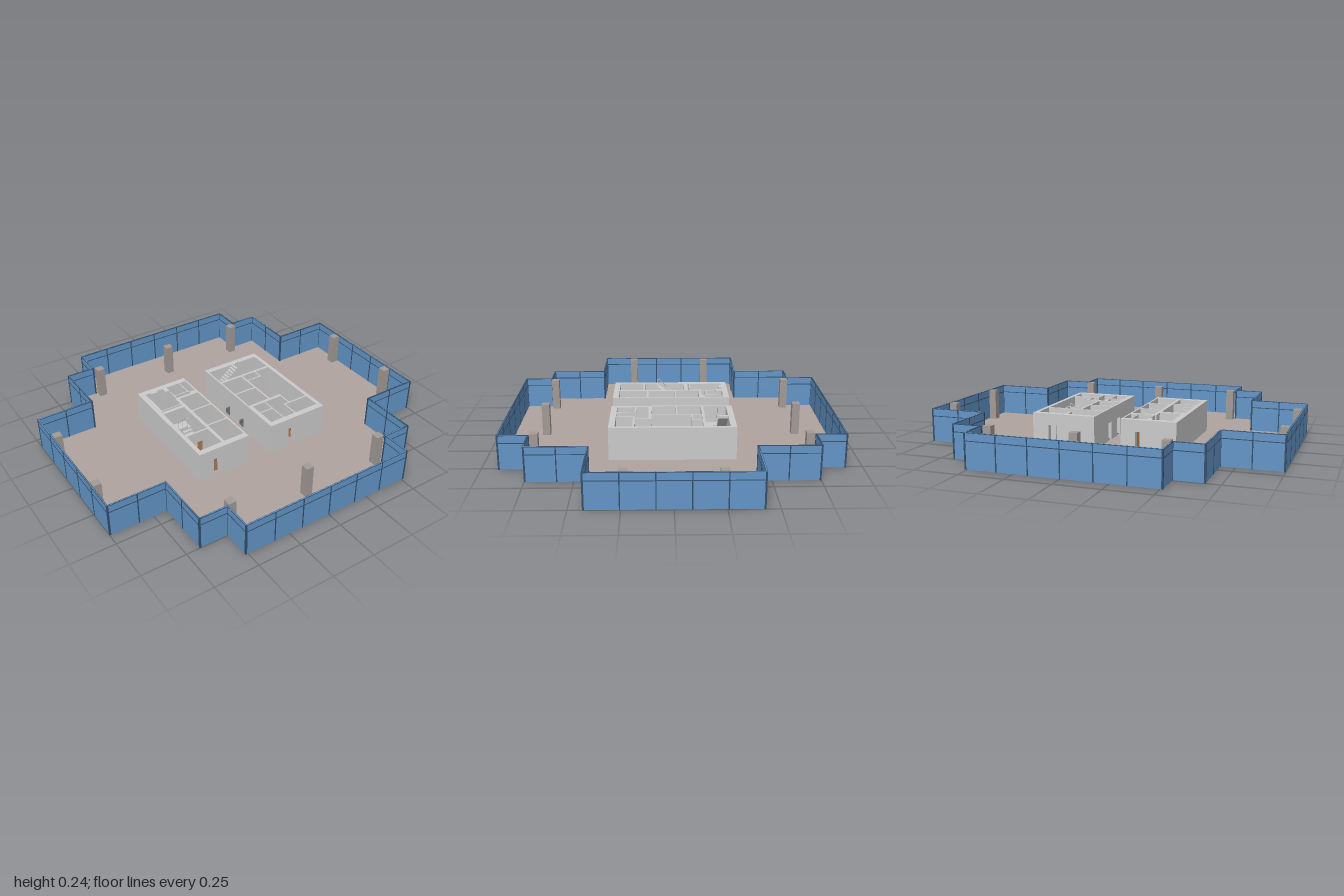
import * as THREE from 'three';

const H = 0.19, FLOOR = 0.006;
const mat = (color) => new THREE.MeshStandardMaterial({ color });
const grey = mat(0xcccccc), floorMat = mat(0xb0a49f), glassMat = mat(0x6496c8);
const frameMat = mat(0x34506c), columnMat = mat(0xa39b96), doorMat = mat(0xa0724a);

function add(parent, name, geometry, material) {
  const mesh = new THREE.Mesh(geometry, material);
  mesh.name = name;
  parent.add(mesh);
  return mesh;
}

function group(parent, name) {
  const g = new THREE.Group();
  g.name = name;
  parent.add(g);
  return g;
}

// Box given by its limits
function block(parent, name, x0, x1, y0, y1, z0, z1, material = grey) {
  const mesh = add(parent, name, new THREE.BoxGeometry(x1 - x0, y1 - y0, z1 - z0), material);
  mesh.position.set((x0 + x1) / 2, (y0 + y1) / 2, (z0 + z1) / 2);
  return mesh;
}

// Stepped cross-shaped plan, pulled inwards by t
function outline(t) {
  const quarter = [[1, 0.43], [0.675, 0.43], [0.675, 0.75], [0.515, 0.75], [0.515, 0.91]]
    .map(([x, z]) => [x - t, z - t]);
  const back = [...quarter].reverse();
  return [
    ...quarter,
    ...back.map(([x, z]) => [-x, z]),
    ...quarter.map(([x, z]) => [-x, -z]),
    ...back.map(([x, z]) => [x, -z]),
  ].map(([x, z]) => new THREE.Vector2(x, z));
}

const rectPath = ([x0, x1, z0, z1]) => new THREE.Path(
  [[x0, z0], [x1, z0], [x1, z1], [x0, z1]].map(([x, z]) => new THREE.Vector2(x, z)));

// Plan shape raised from y0 to y1
function slab(parent, name, points, holes, y0, y1, material) {
  const shape = new THREE.Shape(points);
  shape.holes = holes;
  const geometry = new THREE.ExtrudeGeometry(shape, { depth: y1 - y0, bevelEnabled: false });
  geometry.rotateX(Math.PI / 2).translate(0, y1, 0);
  return add(parent, name, geometry, material);
}

// Straight wall along its longer side, with openings [centre, width, height]
function wall(parent, name, x0, x1, z0, z1, openings = []) {
  const alongX = x1 - x0 > z1 - z0;
  const piece = (a, b, y0) => alongX
    ? block(parent, name, a, b, y0, H, z0, z1)
    : block(parent, name, x0, x1, y0, H, a, b);
  let start = alongX ? x0 : z0;
  for (const [c, w, h] of [...openings].sort((p, q) => p[0] - q[0])) {
    piece(start, c - w / 2, 0);
    piece(c - w / 2, c + w / 2, h);
    start = c + w / 2;
  }
  piece(start, alongX ? x1 : z1, 0);
}

// Open door leaf, hinged at x, z
function door(parent, x, z, angle) {
  const geometry = new THREE.BoxGeometry(0.045, 0.115, 0.004).translate(0.0225, 0.0575, 0);
  const leaf = add(parent, 'doorLeaf', geometry, doorMat);
  leaf.position.set(x, FLOOR, z);
  leaf.rotation.y = angle;
}

// Stepped flight from (x0, y0) up to (x1, y1) with a sloping underside
function flight(parent, name, x0, y0, x1, y1, z, width, steps = 8) {
  const points = [];
  const dx = (x1 - x0) / steps, dy = (y1 - y0) / steps;
  for (let i = 0; i < steps; i++) {
    points.push(new THREE.Vector2(x0 + dx * i, y0 + dy * i));
    points.push(new THREE.Vector2(x0 + dx * i, y0 + dy * (i + 1)));
  }
  points.push(new THREE.Vector2(x1, y1), new THREE.Vector2(x1, y1 - 0.016));
  points.push(new THREE.Vector2(x0 + dx, Math.max(0, y0 - 0.006)));
  const geometry = new THREE.ExtrudeGeometry(new THREE.Shape(points), { depth: width, bevelEnabled: false });
  add(parent, name, geometry.translate(0, 0, z - width / 2), grey);
}

// Half-turn staircase; its upper flight lies on the given side
function staircase(parent, x, z, turn, side) {
  const g = group(parent, 'staircase');
  const run = 0.115, mid = H / 2, w = 0.055, off = 0.0385;
  flight(g, 'lowerFlight', run + 0.013, 0, 0, mid, -side * off, w);
  flight(g, 'upperFlight', 0, mid, run, H, side * off, w);
  block(g, 'landing', -0.054, 0, mid - 0.014, mid, -0.066, 0.066);
  // Thin handrail beside the upper flight
  const zr = side * 0.009;
  const points = [[0, 0.135], [0.095, 0.234], [run, 0.236]].map(([a, b]) => new THREE.Vector3(a, b, zr));
  const path = new THREE.CurvePath();
  path.add(new THREE.LineCurve3(points[0], points[1]));
  path.add(new THREE.LineCurve3(points[1], points[2]));
  add(g, 'handrail', new THREE.TubeGeometry(path, 12, 0.0015, 5), grey);
  for (const [a, top] of [[0.003, 0.138], [0.05, 0.187], [0.11, 0.235]]) {
    block(g, 'railPost', a - 0.001, a + 0.001, mid + a * 0.8 - 0.01, top, zr - 0.001, zr + 0.001);
  }
  g.position.set(x, 0, z);
  g.rotation.y = turn;
}

export function createModel() {
  const model = new THREE.Group();
  model.name = 'officeFloor';

  // Floor slab with lift shafts and stair wells cut out
  const wells = [
    [-0.24, -0.117, -0.168, -0.033], [-0.24, -0.117, -0.023, 0.132], [-0.24, -0.117, 0.142, 0.307],
    [0.053, 0.187, -0.168, -0.033], [0.053, 0.187, -0.023, 0.11],
    [-0.393, -0.259, -0.084, 0.099], [0.056, 0.239, -0.313, -0.181],
  ];
  slab(model, 'floorSlab', outline(0.003), wells.map(rectPath), 0, FLOOR, floorMat);

  // Glass facade with slim frames
  const facade = group(model, 'facade');
  const ring = (name, a, b, y0, y1, m) => slab(facade, name, outline(a), [new THREE.Path(outline(b))], y0, y1, m);
  ring('glazing', 0.002, 0.007, 0, H, glassMat);
  ring('middleRail', 0, 0.009, 0.145, 0.149, frameMat);
  ring('topRail', 0, 0.009, H - 0.003, H, frameMat);
  const corners = outline(0.0045);
  corners.forEach((p, i) => {
    const q = corners[(i + 1) % corners.length];
    const bays = Math.max(1, Math.round(p.distanceTo(q) / 0.165));
    for (let k = 0; k < bays; k++) {
      const c = p.clone().lerp(q, k / bays), r = k ? 0.003 : 0.0045;
      const horizontal = Math.abs(p.x - q.x) > 0.01;
      const rx = horizontal ? r : 0.0045, rz = horizontal ? 0.0045 : r;
      block(facade, 'mullion', c.x - rx, c.x + rx, 0, H, c.y - rz, c.y + rz, frameMat);
    }
  });

  // Columns around the edge
  const columns = group(model, 'columns');
  for (const [x, z] of [[0.478, 0.72], [-0.478, 0.72], [0, 0.72], [0.965, 0.238], [-0.965, 0.238]]) {
    for (const s of [1, -1]) {
      block(columns, 'column', x - 0.022, x + 0.022, 0, H, s * z - 0.022, s * z + 0.022, columnMat);
    }
  }

  // Core on the -x side: three lifts, stairs and service rooms
  const right = group(model, 'rightCore');
  wall(right, 'backWall', -0.417, -0.107, -0.345, -0.311, [[-0.215, 0.05, 0.125]]);
  wall(right, 'frontWall', -0.417, -0.107, 0.306, 0.34, [[-0.305, 0.05, 0.125]]);
  wall(right, 'outerWall', -0.417, -0.393, -0.311, 0.306);
  wall(right, 'liftWall', -0.117, -0.107, -0.311, 0.306, [-0.1, 0.053, 0.22].map((z) => [z, 0.055, 0.11]));
  wall(right, 'spineWall', -0.259, -0.24, -0.185, 0.306, [[-0.14, 0.045, 0.125], [0.125, 0.04, 0.125]]);
  for (const z of [-0.028, 0.137]) wall(right, 'shaftDivider', -0.24, -0.117, z - 0.005, z + 0.005);
  wall(right, 'shaftBackWall', -0.24, -0.117, -0.185, -0.168);
  wall(right, 'sideLining', -0.155, -0.117, -0.2, -0.185);
  wall(right, 'stairWall', -0.393, -0.259, -0.105, -0.084);
  wall(right, 'roomWall', -0.393, -0.259, 0.154, 0.165, [[-0.31, 0.045, 0.125]]);
  wall(right, 'washroomWall', -0.393, -0.255, -0.122, -0.116);
  wall(right, 'washroomWall', -0.252, -0.246, -0.26, -0.185);
  wall(right, 'washroomWall', -0.252, -0.165, -0.214, -0.208);
  wall(right, 'washroomWall', -0.163, -0.157, -0.311, -0.2, [[-0.225, 0.04, 0.125]]);
  block(right, 'washroomDuct', -0.393, -0.382, 0, H, -0.311, -0.11);
  block(right, 'washroomDuct', -0.35, -0.31, 0, H, -0.311, -0.298);
  block(right, 'washroomDuct', -0.27, -0.245, 0, H, -0.311, -0.275);
  door(right, -0.155, -0.215, 2.2);
  door(right, -0.31, 0.14, -0.5);
  door(right, -0.325, 0.28, -0.5);
  staircase(right, -0.326, -0.03, -Math.PI / 2, 1);

  // Core on the +x side: two lifts, stairs, corridor and washrooms
  const left = group(model, 'leftCore');
  wall(left, 'backWall', 0.043, 0.407, -0.345, -0.311, [[0.29, 0.05, 0.125]]);
  wall(left, 'frontWall', 0.043, 0.407, 0.306, 0.34, [[0.19, 0.05, 0.125]]);
  wall(left, 'outerWall', 0.385, 0.407, -0.311, 0.306);
  wall(left, 'liftWall', 0.043, 0.053, -0.311, 0.306, [-0.1, 0.045].map((z) => [z, 0.055, 0.11]));
  wall(left, 'stairWall', 0.053, 0.385, -0.183, -0.168, [[0.32, 0.045, 0.125]]);
  wall(left, 'spineWall', 0.187, 0.198, -0.168, 0.125);
  wall(left, 'shaftDivider', 0.053, 0.187, -0.033, -0.023);
  wall(left, 'shaftFrontWall', 0.053, 0.27, 0.11, 0.128);
  wall(left, 'closetWall', 0.198, 0.292, -0.115, -0.107);
  wall(left, 'closetWall', 0.284, 0.292, -0.168, -0.107, [[-0.14, 0.035, 0.125]]);
  wall(left, 'washroomWall', 0.262, 0.27, 0.128, 0.205, [[0.17, 0.045, 0.125]]);
  wall(left, 'washroomWall', 0.23, 0.385, 0.202, 0.212, [[0.3, 0.045, 0.125]]);
  wall(left, 'washroomWall', 0.148, 0.155, 0.128, 0.306, [[0.25, 0.045, 0.125]]);
  wall(left, 'washroomWall', 0.053, 0.148, 0.197, 0.205);
  wall(left, 'washroomWall', 0.228, 0.236, 0.205, 0.306, [[0.26, 0.045, 0.125]]);
  block(left, 'washroomDuct', 0.053, 0.068, 0, H, 0.128, 0.306);
  door(left, 0.28, 0.204, 0.5);
  door(left, 0.228, 0.28, 2.1);
  door(left, 0.14, 0.225, -1.2);
  staircase(left, 0.11, -0.247, 0, -1);

  return model;
}
